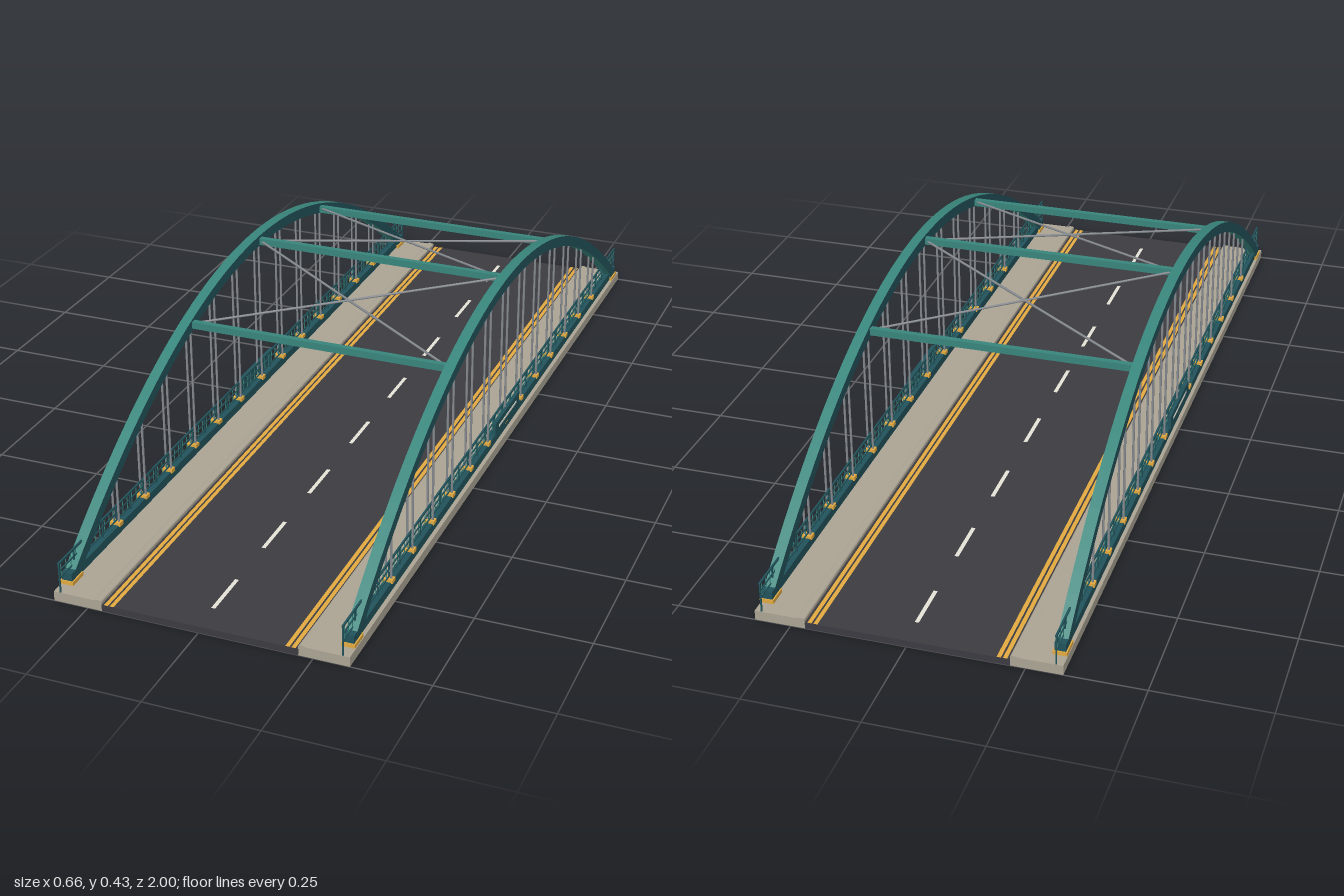
import * as THREE from 'three';
import { mergeGeometries } from 'three/addons/utils/BufferGeometryUtils.js';

const mat = (name, color) => {
  const m = new THREE.MeshStandardMaterial({ color });
  m.name = name;
  return m;
};

const HALF = 0.95, RISE = 0.378, FOOT = 0.038, SIDE = 0.313;
const archY = z => FOOT + RISE * (1 - (z / HALF) ** 2);

const box = (w, h, d, x, y, z) => new THREE.BoxGeometry(w, h, d).translate(x, y, z);

// Round rod between two points
function rod(a, b, r, sides = 6) {
  const dir = b.clone().sub(a);
  const g = new THREE.CylinderGeometry(r, r, dir.length(), sides);
  g.applyQuaternion(new THREE.Quaternion().setFromUnitVectors(
    new THREE.Vector3(0, 1, 0), dir.normalize()));
  return g.translate((a.x + b.x) / 2, (a.y + b.y) / 2, (a.z + b.z) / 2);
}

// Parabolic rib with a rectangular section; group 0 is the webs, group 1 the flanges
function archRib(width, thick) {
  const outer = [], inner = [], n = 48;
  for (let i = 0; i <= n; i++) {
    const z = HALF * (2 * i / n - 1);
    const slope = -2 * RISE * z / HALF ** 2;
    const k = thick / 2 / Math.hypot(1, slope);
    outer.push(new THREE.Vector2(z - slope * k, archY(z) + k));
    inner.push(new THREE.Vector2(z + slope * k, archY(z) - k));
  }
  const shape = new THREE.Shape([...outer, ...inner.reverse()]);
  return new THREE.ExtrudeGeometry(shape, { depth: width, bevelEnabled: false })
    .translate(0, 0, -width / 2).rotateY(Math.PI / 2);
}

// Pavement section with a slightly raised, rounded kerb
function pavement(s) {
  const pts = [[0.218, 0], [0.328, 0], [0.328, 0.022], [0.237, 0.022], [0.233, 0.0233],
    [0.229, 0.0242], [0.222, 0.0242], [0.219, 0.0228], [0.218, 0.021]];
  const shape = new THREE.Shape(pts.map(([x, y]) => new THREE.Vector2(s * x, y)));
  return new THREE.ExtrudeGeometry(shape, { depth: 2, bevelEnabled: false }).translate(0, 0, -1);
}

// Flat road marking
const marking = (w, d, x, z) =>
  new THREE.PlaneGeometry(w, d).rotateX(-Math.PI / 2).translate(x, 0.0155, z);

export function createModel() {
  const model = new THREE.Group();
  model.name = 'archBridge';
  const teal = mat('teal steel', 0x38857b);
  const darkTeal = mat('dark teal steel', 0x22535b);
  const asphalt = mat('asphalt', 0x3c3b41);
  const concrete = mat('concrete', 0xaba494);
  const yellow = mat('yellow', 0xe2aa40);
  const white = mat('road white', 0xe4e1d6);
  const cable = mat('cable grey', 0x868b90);

  const add = (parent, name, material, ...geos) => {
    const g = geos.length > 1 ? mergeGeometries(geos) : geos[0];
    const mesh = new THREE.Mesh(g, material);
    mesh.name = name;
    parent.add(mesh);
  };

  // Roadway and markings
  add(model, 'roadway', asphalt, box(0.437, 0.015, 2, 0, 0.0075, 0));
  const dashes = [], lines = [];
  for (let i = 0; i < 8; i++) dashes.push(marking(0.009, 0.116, 0, -0.878 + i * 0.25));
  for (const s of [-1, 1]) for (const x of [0.195, 0.208])
    lines.push(marking(0.009, 2, s * x, 0));
  add(model, 'centreDashes', white, ...dashes);
  add(model, 'edgeLines', yellow, ...lines);

  for (const s of [-1, 1]) {
    const side = new THREE.Group();
    side.name = s > 0 ? 'leftSide' : 'rightSide';
    model.add(side);
    const x = s * SIDE;

    add(side, 'pavement', concrete, pavement(s));
    add(side, 'arch', [darkTeal, teal], archRib(0.024, 0.025).translate(x, 0, 0));
    add(side, 'tieBeam', darkTeal, box(0.018, 0.02, 1.9, x, 0.038, 0));

    // Bearings under the arch feet
    const pads = [], shoes = [];
    for (const e of [-1, 1]) {
      pads.push(box(0.03, 0.009, 0.045, x, 0.0295, e * 0.95));
      shoes.push(box(0.024, 0.02, 0.04, x, 0.042, e * 0.95));
    }
    add(side, 'bearingPads', yellow, ...pads);
    add(side, 'archShoes', darkTeal, ...shoes);

    // Paired hangers with their anchors on the tie beam
    const hangers = [], anchors = [];
    for (let i = -6; i <= 6; i++) {
      const z = i * 0.125;
      for (const o of [-0.006, 0.006])
        hangers.push(rod(new THREE.Vector3(x + o, 0.04, z),
          new THREE.Vector3(x + o, archY(z), z), 0.0027, 8));
      anchors.push(box(0.024, 0.009, 0.016, x, 0.05, z));
    }
    add(side, 'hangers', cable, ...hangers);
    add(side, 'hangerAnchors', yellow, ...anchors);

    // Railing: posts, rails and thin pickets
    const rails = [], pickets = [];
    for (const [y, t] of [[0.09, 0.004], [0.073, 0.0025], [0.056, 0.0025]])
      rails.push(box(t, t, 2, x, y, 0));
    for (let i = 0; i <= 32; i++)
      rails.push(box(0.003, 0.068, 0.003, x, 0.056, -0.998 + i * 1.996 / 32));
    for (let i = 0; i < 96; i++)
      pickets.push(box(0.0015, 0.034, 0.0015, x, 0.073, -0.99 + i * 1.98 / 95));
    add(side, 'railing', darkTeal, ...rails);
    add(side, 'railingPickets', teal, ...pickets);

    // Plaque on the outside of the railing, with a plain pale strip
    add(side, 'plaque', darkTeal, box(0.007, 0.034, 0.18, s * 0.323, 0.068, 0));
    add(side, 'plaqueStrip', white, box(0.001, 0.006, 0.13, s * 0.327, 0.068, 0));
  }

  // Cross beams between the arches
  const beamZ = [-0.37, 0, 0.37];
  add(model, 'crossBeams', teal,
    ...beamZ.map(z => box(0.61, 0.016, 0.014, 0, archY(z) - 0.002, z)));

  // Diagonal bracing between neighbouring beams
  const braces = [];
  for (const e of [-1, 1]) for (const s of [-1, 1])
    braces.push(rod(new THREE.Vector3(s * 0.302, archY(0) - 0.002, 0),
      new THREE.Vector3(-s * 0.302, archY(0.37), e * 0.37), 0.003));
  add(model, 'diagonalBracing', cable, ...braces);

  return model;
}
